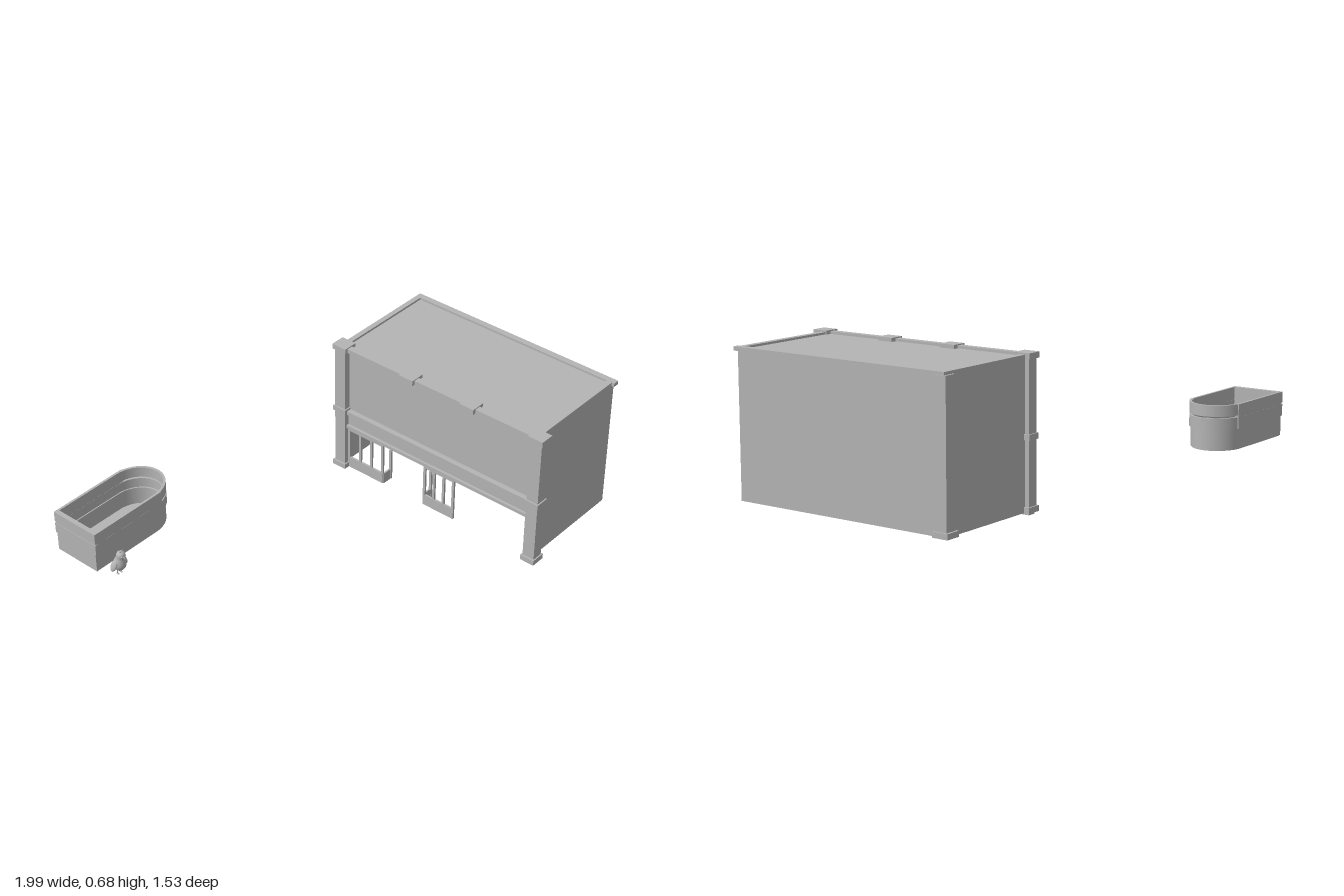
import * as THREE from 'three';

const stone = new THREE.MeshStandardMaterial({ color: 0xb4b4b4, side: THREE.DoubleSide });
stone.name = 'plainGrey';

function add(parent, name, geometry) {
  const mesh = new THREE.Mesh(geometry, stone);
  mesh.name = name;
  parent.add(mesh);
  return mesh;
}

// Box given by its two extremes on each axis
function box(parent, name, x0, x1, y0, y1, z0, z1) {
  const mesh = add(parent, name, new THREE.BoxGeometry(x1 - x0, y1 - y0, z1 - z0));
  mesh.position.set((x0 + x1) / 2, (y0 + y1) / 2, (z0 + z1) / 2);
  return mesh;
}

function group(parent, name) {
  const g = new THREE.Group();
  g.name = name;
  parent.add(g);
  return g;
}

// Flat-lying extrusion from height y0 to y1
function slab(parent, name, shape, y0, y1) {
  const g = new THREE.ExtrudeGeometry(shape, { depth: y1 - y0, bevelEnabled: false, curveSegments: 32 });
  g.rotateX(-Math.PI / 2);
  g.translate(0, y0, 0);
  return add(parent, name, g);
}

function buildShop(root) {
  const shop = group(root, 'shop');

  // Walls, open underneath and along the lower street side
  box(shop, 'sideWall', 0.963, 0.973, 0.01, 0.655, -0.37, 0.72);
  box(shop, 'frontWall', 0.43, 0.973, 0.01, 0.655, 0.71, 0.72);
  box(shop, 'backWall', 0.43, 0.973, 0.01, 0.655, -0.37, -0.36);
  box(shop, 'upperStreetWall', 0.425, 0.435, 0.32, 0.655, -0.36, 0.71);

  // Roof and raised rim
  box(shop, 'roof', 0.425, 0.965, 0.645, 0.658, -0.36, 0.71);
  box(shop, 'roofRim', 0.4, 0.43, 0.65, 0.67, -0.375, 0.72);
  box(shop, 'roofRim', 0.953, 0.983, 0.65, 0.668, -0.375, 0.735);
  box(shop, 'roofRim', 0.43, 0.953, 0.65, 0.668, -0.375, -0.35);
  box(shop, 'roofRim', 0.43, 0.953, 0.65, 0.668, 0.695, 0.722);
  for (const z of [-0.36, 0.025, 0.36, 0.725])
    box(shop, 'roofBlock', 0.385, 0.455, 0.65, 0.675, z - 0.038, z + 0.038);

  // Street pillars with foot and middle band
  for (const z of [-0.36, 0.725]) {
    const pillar = group(shop, 'pillar');
    box(pillar, 'pillarShaft', 0.394, 0.447, 0.01, 0.655, z - 0.03, z + 0.03);
    box(pillar, 'pillarBand', 0.387, 0.453, 0.315, 0.34, z - 0.036, z + 0.036);
    box(pillar, 'pillarFoot', 0.385, 0.455, 0.01, 0.035, z - 0.036, z + 0.036);
    box(pillar, 'pillarPad', 0.4, 0.44, 0, 0.01, z - 0.025, z + 0.025);
  }
  // Corner pillar at the back
  box(shop, 'cornerPillar', 0.93, 0.987, 0.01, 0.655, -0.385, -0.325);
  box(shop, 'cornerFoot', 0.922, 0.995, 0.01, 0.035, -0.395, -0.32);

  // Fascia board between two ledges
  box(shop, 'fascia', 0.418, 0.43, 0.24, 0.32, -0.33, 0.695);
  box(shop, 'upperLedge', 0.4, 0.435, 0.312, 0.33, -0.33, 0.695);
  box(shop, 'lowerLedge', 0.405, 0.435, 0.232, 0.248, -0.33, 0.695);

  // Framed shop windows on either side of the recessed doorway
  for (const [z0, z1, inner] of [[-0.33, -0.12, -0.12], [0.115, 0.29, 0.115]]) {
    const win = group(shop, 'shopWindow');
    box(win, 'windowSill', 0.415, 0.425, 0.01, 0.065, z0, z1);
    box(win, 'windowHead', 0.415, 0.425, 0.215, 0.24, z0, z1);
    for (let i = 0; i <= 3; i++) {
      const z = z0 + 0.006 + (z1 - z0 - 0.012) * i / 3;
      box(win, 'mullion', 0.415, 0.425, 0.065, 0.215, z - 0.006, z + 0.006);
    }
    box(win, 'returnSill', 0.42, 0.475, 0.01, 0.065, inner - 0.004, inner + 0.004);
    box(win, 'returnHead', 0.42, 0.475, 0.215, 0.24, inner - 0.004, inner + 0.004);
    box(win, 'doorPost', 0.467, 0.477, 0.01, 0.24, inner - 0.006, inner + 0.006);
  }
  box(shop, 'doorHead', 0.467, 0.477, 0.215, 0.24, -0.12, 0.115);
}

// Round-nosed outline, centred across its width
function noseOutline(path, x0, xBend, xNose, half) {
  path.moveTo(x0, -half);
  path.lineTo(xBend, -half);
  path.absellipse(xBend, 0, xNose - xBend, half, -Math.PI / 2, Math.PI / 2, false, 0);
  path.lineTo(x0, half);
  path.closePath();
  return path;
}

function buildTrough(root) {
  const trough = group(root, 'trough');
  trough.position.z = -0.645;

  const ring = noseOutline(new THREE.Shape(), -0.995, -0.64, -0.503, 0.118);
  ring.holes.push(noseOutline(new THREE.Path(), -0.975, -0.64, -0.515, 0.108));
  slab(trough, 'lowerWall', ring, 0.15, 0.245);
  slab(trough, 'base', noseOutline(new THREE.Shape(), -0.99, -0.64, -0.507, 0.114), 0.146, 0.16);

  // Two bands, slightly proud, with a narrow slit between them round the nose
  const band = noseOutline(new THREE.Shape(), -0.997, -0.64, -0.495, 0.124);
  band.holes.push(noseOutline(new THREE.Path(), -0.975, -0.64, -0.507, 0.113));
  slab(trough, 'lowerBand', band, 0.24, 0.292);
  slab(trough, 'upperBand', band, 0.3, 0.35);
  for (const s of [-1, 1])
    box(trough, 'sideWall', -0.99, -0.6, 0.24, 0.35, s * 0.1185 - 0.005, s * 0.1185 + 0.005);
  box(trough, 'endWall', -0.995, -0.975, 0.24, 0.35, -0.12, 0.12);
}

function buildBird(root) {
  const bird = group(root, 'bird');
  bird.position.set(-0.952, 0.17, -0.437);
  bird.rotation.x = 0.2;

  // Plump body running up into the head
  const profile = [[0, 0.018], [0.016, 0.024], [0.027, 0.042], [0.029, 0.06], [0.024, 0.08],
    [0.02, 0.094], [0.02, 0.108], [0.014, 0.12], [0, 0.126]].map(p => new THREE.Vector2(...p));
  add(bird, 'body', new THREE.LatheGeometry(new THREE.SplineCurve(profile).getPoints(24), 20));

  const beak = add(bird, 'beak', new THREE.ConeGeometry(0.007, 0.018, 10));
  beak.position.set(0, 0.103, 0.023);
  beak.rotation.x = 2.1;
  const ball = new THREE.SphereGeometry(1, 14, 10);
  for (const s of [-1, 1]) {
    const wing = add(bird, 'wing', ball);
    wing.scale.set(0.008, 0.029, 0.016);
    wing.position.set(s * 0.031, 0.056, -0.004);
    wing.rotation.z = s * 0.35;
    const eye = add(bird, 'eye', ball);
    eye.scale.setScalar(0.004);
    eye.position.set(s * 0.01, 0.109, 0.016);
    const leg = add(bird, 'leg', new THREE.CylinderGeometry(0.002, 0.002, 0.024, 6));
    leg.position.set(s * 0.009, 0.012, 0);
    const foot = add(bird, 'foot', ball);
    foot.scale.set(0.005, 0.002, 0.009);
    foot.position.set(s * 0.009, 0, 0.004);
    // Crest feathers
    const feather = add(bird, 'crestFeather', new THREE.ConeGeometry(0.004, 0.016, 8));
    feather.position.set(s * 0.006, 0.127, 0);
    feather.rotation.z = -s * 0.4;
  }
  const tail = add(bird, 'tail', ball);
  tail.scale.set(0.012, 0.024, 0.005);
  tail.position.set(0, 0.03, -0.024);
  tail.rotation.x = 0.4;
}

export function createModel() {
  const model = new THREE.Group();
  model.name = 'shopAndTrough';
  buildShop(model);
  buildTrough(model);
  buildBird(model);
  return model;
}
